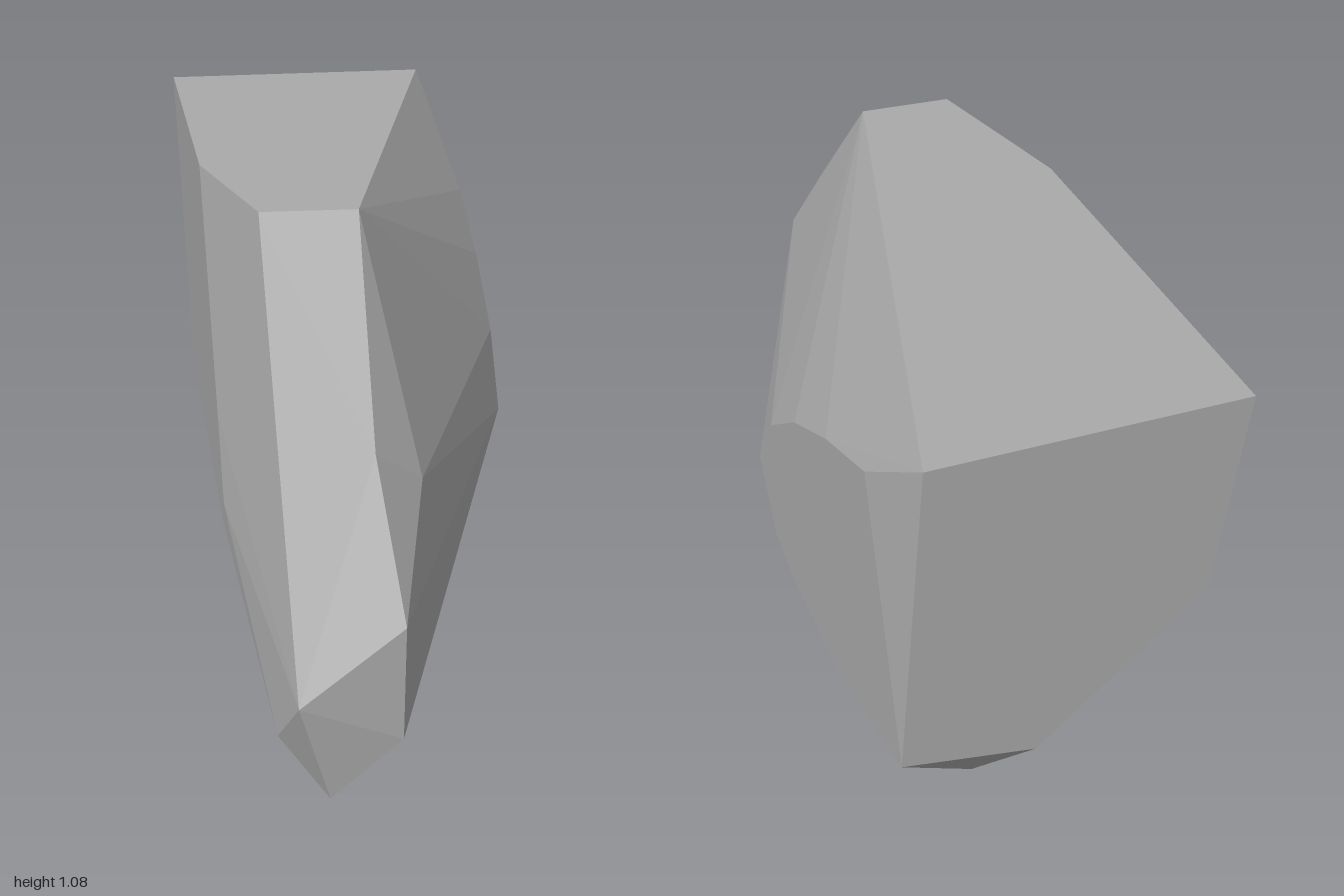
import * as THREE from 'three';
import { ConvexGeometry } from 'three/addons/geometries/ConvexGeometry.js';

// Corners of the faceted boulder, grouped by region: [x, y, z]
const topRim = [
  [-0.365, 1.08, -1], [0.32, 1.08, -1], [-0.055, 1.08, 0.38], [-0.27, 1.08, 0.37], [-0.365, 1.08, -0.04],
];
const nose = [
  [-0.085, 0.69, 0.80], [0.025, 0.60, 0.73], [-0.05, 0.39, 0.98], [-0.055, 0.14, 0.985],
  [-0.27, 0.235, 1.0], [-0.205, 0.01, 0.98], [-0.30, 0.10, 0.87], [-0.25, 0.015, 0.79],
];
// Flat facet on the +x side, as [y, z]
const leftFacet = [
  [0.94, -0.79], [0.85, -0.55], [0.74, -0.33], [0.60, -0.14], [0.43, -0.03],
  [0.28, -0.14], [0.24, -0.29], [0.24, -0.62], [0.33, -1],
].map(([y, z]) => [0.36, y, z]);
// Flat facet on the -x side, as [y, z]
const rightFacet = [
  [0.60, 0.32], [0.43, 0.43], [0.37, 0.38], [0.41, -0.28], [0.50, -0.556],
].map(([y, z]) => [-0.365, y, z]);
const backEdge = [[-0.31, 0.61, -1], [0.06, 0.275, -1], [0.17, 0.175, -0.92]];
const underside = [
  [0.26, 0.175, -0.78], [0.29, 0.15, -0.46], [0.21, 0.10, -0.14], [0.26, 0.18, -0.03],
  [0.11, 0.01, -0.03], [0.12, 0, -0.29], [-0.045, 0.005, -0.16],
];

export function createModel() {
  const stone = new THREE.MeshStandardMaterial({ color: 0xaaaaaa });
  stone.name = 'stone grey';

  const corners = [topRim, nose, leftFacet, rightFacet, backEdge, underside]
    .flat()
    .map((p) => new THREE.Vector3(...p));

  // Hull faces carry their own flat normals
  const boulder = new THREE.Mesh(new ConvexGeometry(corners), stone);
  boulder.name = 'boulder';

  const model = new THREE.Group();
  model.name = 'facetedRock';
  model.add(boulder);
  return model;
}
